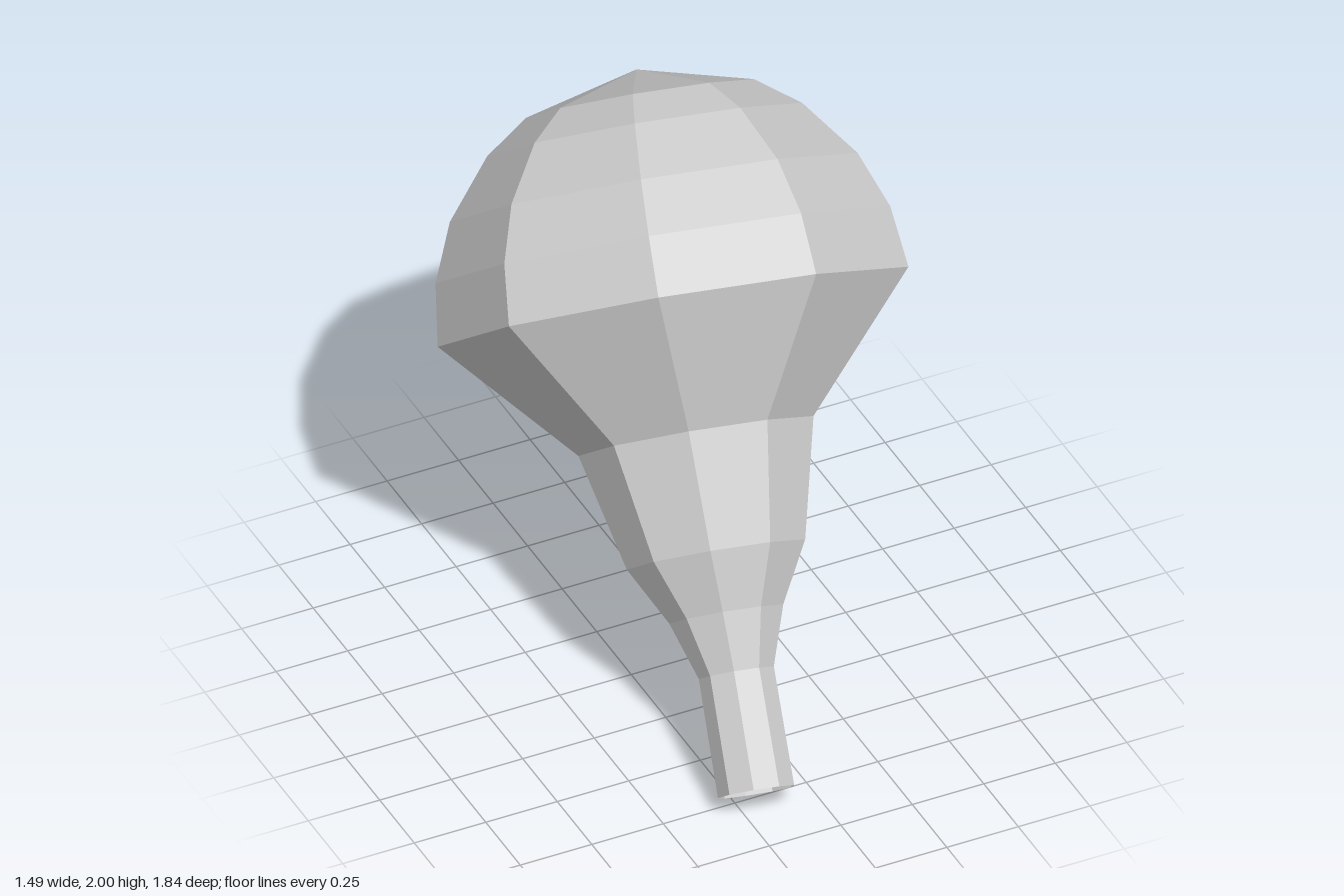
import * as THREE from 'three';

const SIDES = 9;
const DOME_RADIUS = 0.765;
const DOME_BASE = 1.545; // distance of the dome rim from the open end, along the axis

export function createModel() {
  const group = new THREE.Group();
  const material = new THREE.MeshStandardMaterial({
    color: 0xcccccc, flatShading: true, side: THREE.DoubleSide,
  });

  // Tilted axis, with one rim corner pointing forward and up
  const axis = new THREE.Vector3(0.129, 0.754, -0.644).normalize();
  const corner = new THREE.Vector3(0.275, 0.59, 0.76);
  corner.addScaledVector(axis, -corner.dot(axis)).normalize();
  const across = new THREE.Vector3().crossVectors(axis, corner);
  group.quaternion.setFromRotationMatrix(new THREE.Matrix4().makeBasis(across, axis, corner));
  group.position.set(-0.21, 0.085, 0.825);

  const addLathe = (name, points) => {
    const mesh = new THREE.Mesh(new THREE.LatheGeometry(points, SIDES), material);
    mesh.name = name;
    group.add(mesh);
  };

  // Open stem, swelling in steps and flaring out to the rim
  addLathe('stem', [
    [0.124, 0], [0.122, 0.38], [0.185, 0.567], [0.29, 0.757], [0.382, 1.135],
    [DOME_RADIUS, DOME_BASE],
  ].map(([r, y]) => new THREE.Vector2(r, y)));

  // Faceted half-sphere crown, rings given by elevation in degrees
  addLathe('crown', [0, 15, 30, 48, 61, 90].map((deg) => {
    const a = THREE.MathUtils.degToRad(deg);
    const r = deg === 90 ? 0 : DOME_RADIUS * Math.cos(a);
    return new THREE.Vector2(r, DOME_BASE + DOME_RADIUS * Math.sin(a));
  }));

  const model = new THREE.Group();
  model.name = 'bulb';
  model.add(group);
  return model;
}
